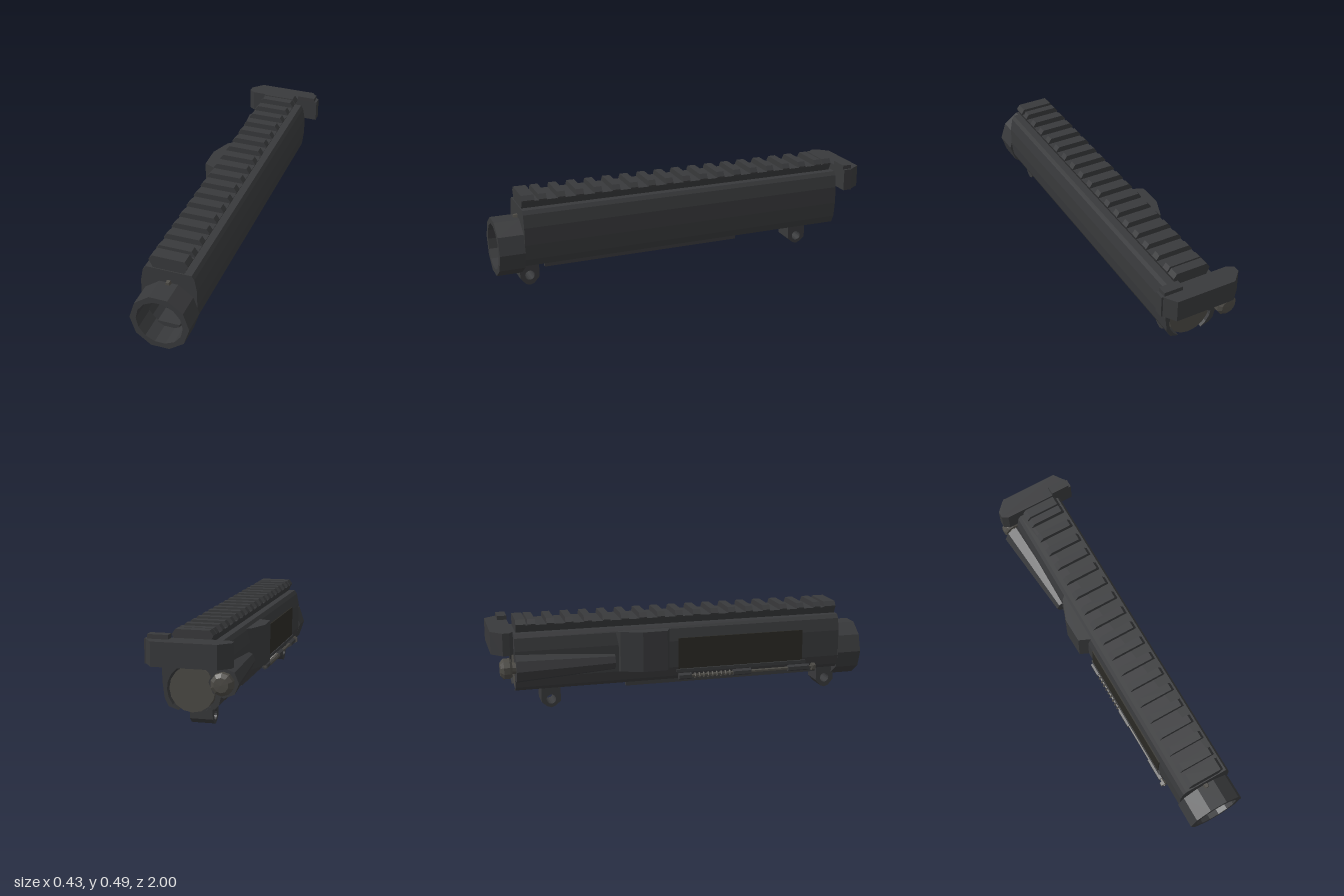
import * as THREE from 'three';

const CX = 0.01, CY = 0.215; // bore axis
const material = (color) => new THREE.MeshStandardMaterial({ color, flatShading: true });

export function createModel() {
  const model = new THREE.Group();
  const dark = material(0x38393b), steel = material(0x4c4a45), cover = material(0x2a2924);

  const add = (name, geometry, mat = dark, x = 0, y = 0, z = 0) => {
    const mesh = new THREE.Mesh(geometry, mat);
    mesh.name = name;
    mesh.position.set(x, y, z);
    model.add(mesh);
    return mesh;
  };
  const shapeOf = (points) => new THREE.Shape(points.map(([x, y]) => new THREE.Vector2(x, y)));
  const ngon = (r, n, phase = 0, r2 = r) => Array.from({ length: n }, (_, i) => {
    const a = phase + (i / n) * Math.PI * 2, q = i % 2 ? r2 : r;
    return [Math.cos(a) * q, Math.sin(a) * q];
  });
  const extrude = (shape, depth) =>
    new THREE.ExtrudeGeometry(shape, { depth, bevelEnabled: false, curveSegments: 8 });
  const box = (name, x0, x1, y0, y1, z0, z1, mat) =>
    add(name, new THREE.BoxGeometry(x1 - x0, y1 - y0, z1 - z0), mat, (x0 + x1) / 2, (y0 + y1) / 2, (z0 + z1) / 2);
  // cylinder along z, r0 at the back and r1 at the front
  const rod = (name, r0, r1, z0, z1, x, y, sides, mat) =>
    add(name, new THREE.CylinderGeometry(r1, r0, z1 - z0, sides).rotateX(Math.PI / 2), mat, x, y, (z0 + z1) / 2);

  // Body: C-shaped section, bore open along the underside
  const section = [[0.073, 0.115], [0.12, 0.13], [0.14, 0.17], [0.15, 0.25], [0.15, 0.34], [0.138, 0.405],
    [0.125, 0.425], [-0.105, 0.425], [-0.12, 0.405], [-0.132, 0.34], [-0.132, 0.2], [-0.12, 0.15],
    [-0.1, 0.13], [-0.053, 0.115]];
  const a0 = Math.atan2(-0.1, -0.063), a1 = Math.atan2(-0.1, 0.063);
  for (let i = 0; i <= 16; i++) {
    const a = a0 + Math.PI * 2 + (a1 - a0 - Math.PI * 2) * (i / 16);
    section.push([CX + Math.cos(a) * 0.118, CY + Math.sin(a) * 0.118]);
  }
  add('body', extrude(shapeOf(section), 1.75), dark, 0, 0, -0.88);
  for (const [x0, x1] of [[-0.078, -0.055], [0.075, 0.098]]) box('lowerRim', x0, x1, 0.103, 0.135, -0.3, 0.76);

  // Ten-sided front collar
  const collar = shapeOf(ngon(0.15, 10));
  collar.holes.push(new THREE.Path(ngon(0.118, 14).map(([x, y]) => new THREE.Vector2(x, y))));
  add('frontCollar', extrude(collar, 0.13), dark, CX, CY, 0.87);
  rod('collarPin', 0.02, 0.012, 0.85, 0.89, CX, 0.36, 5, steel);

  // Inner cylinder with a toothed, recessed front face
  rod('innerCylinder', 0.11, 0.11, -0.87, 0.72, CX, CY, 16, steel);
  const star = shapeOf(ngon(0.092, 18, 0.1, 0.068));
  star.holes.push(new THREE.Path(ngon(0.042, 6).map(([x, y]) => new THREE.Vector2(x, y))));
  add('toothedFace', extrude(star, 0.08), steel, CX, CY, 0.71);
  rod('facePin', 0.014, 0.01, 0.71, 0.75, CX, CY, 3, cover);

  // Top rail: continuous base with evenly spaced cross teeth
  const railBase = shapeOf([[-0.068, 0.42], [0.084, 0.42], [0.104, 0.462], [-0.088, 0.462]]);
  add('railBase', extrude(railBase, 1.731), dark, 0, 0, -0.866);
  const tooth = shapeOf([[-0.088, 0.46], [0.104, 0.46], [0.106, 0.468], [0.09, 0.491], [-0.073, 0.491], [-0.091, 0.468]]);
  const addTooth = (z0, z1) => add('railTooth', extrude(tooth, z1 - z0), dark, 0, 0, z0);
  addTooth(0.8, 0.865);
  addTooth(-0.866, -0.815);
  for (let i = 0; i < 17; i++) {
    const z = 0.758 - i * 0.0965;
    addTooth(z - 0.02, z + 0.02);
  }

  // Rear pull handle: chamfered plan (x, z), extruded upward
  const plan = (name, points, y0, y1) =>
    add(name, extrude(shapeOf(points.map(([x, z]) => [x, -z])), y1 - y0).rotateX(-Math.PI / 2), dark, 0, y0, 0);
  plan('rearHandle', [[-0.2, -0.91], [-0.17, -0.89], [0.2, -0.89], [0.205, -0.94], [0.165, -1], [-0.145, -1], [-0.2, -0.945]], 0.34, 0.455);
  box('handleLatch', 0.06, 0.214, 0.34, 0.455, -0.938, -0.89);
  box('latchTop', 0.1, 0.2, 0.45, 0.476, -0.938, -0.89);
  box('handleStem', -0.06, 0.08, 0.345, 0.415, -0.91, -0.8);

  // Tapered side housing, leaning outward toward the back, with its push button
  const housing = new THREE.CylinderGeometry(0.045, 0.072, 0.51, 8).rotateX(Math.PI / 2);
  const p = housing.attributes.position;
  for (let i = 0; i < p.count; i++) p.setX(i, p.getX(i) + p.getZ(i) * 0.045);
  add('sideHousing', housing, dark, -0.131, 0.255, -0.625);
  rod('buttonNeck', 0.03, 0.03, -0.91, -0.87, -0.15, 0.262, 10, steel);
  const button = [[0, 0], [0.045, 0], [0.054, 0.012], [0.054, 0.042], [0.035, 0.058], [0, 0.06]]
    .map(([r, h]) => new THREE.Vector2(r, h));
  add('pushButton', new THREE.LatheGeometry(button, 10).rotateX(-Math.PI / 2), steel, -0.15, 0.262, -0.9);

  // Wedge behind the side opening
  plan('sideWedge', [[-0.11, -0.37], [-0.14, -0.34], [-0.181, -0.23], [-0.178, -0.1], [-0.11, -0.07]], 0.2, 0.41);

  // Side opening panel, frame and hinge
  box('sidePanel', -0.136, -0.12, 0.19, 0.355, -0.03, 0.66, cover);
  box('panelSill', -0.139, -0.11, 0.172, 0.188, -0.04, 0.68);
  rod('hingeRod', 0.009, 0.009, -0.03, 0.74, -0.135, 0.148, 6, steel);
  for (const [z0, z1] of [[-0.03, 0.04], [0.27, 0.37], [0.58, 0.7]]) rod('hingeKnuckle', 0.018, 0.018, z0, z1, -0.133, 0.148, 6);
  rod('hingeEnd', 0.021, 0.021, 0.715, 0.735, -0.136, 0.148, 6, steel);
  for (let i = 0; i < 9; i++)
    add('hingeCoil', new THREE.TorusGeometry(0.012, 0.005, 4, 8), steel, -0.135, 0.148, 0.06 + i * 0.024);

  // Pierced lugs below, profile in z and y
  const lug = (name, z, bottom) => {
    const s = shapeOf([[-0.05, 0.125], [-0.05, 0.04], [-0.022, bottom + 0.008], [0, bottom], [0.022, bottom + 0.008], [0.05, 0.04], [0.05, 0.125]]);
    const hole = new THREE.Path();
    hole.absarc(0, 0.053, 0.025, 0, Math.PI * 2, true);
    s.holes.push(hole);
    add(name, extrude(s, 0.112).rotateY(-Math.PI / 2), dark, 0.062, 0, z);
  };
  lug('frontLug', 0.832, 0);
  lug('rearLug', -0.692, 0.008);

  return model;
}
